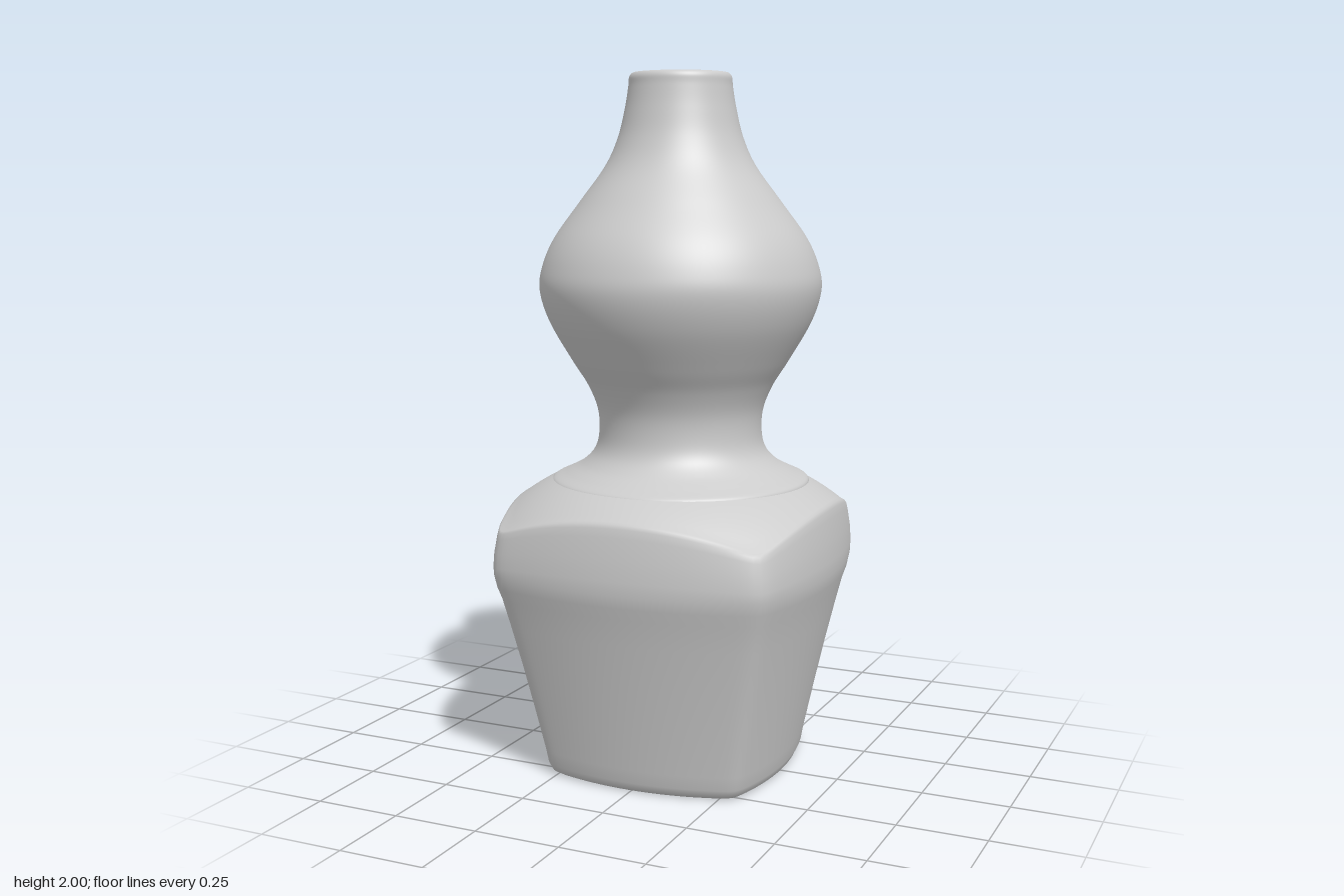
import * as THREE from 'three';

const material = new THREE.MeshStandardMaterial({ color: 0xcccccc, side: THREE.DoubleSide });

// Radius of a square with bulging sides and softened corners
function squareRadius(angle) {
  const quarter = Math.PI / 2;
  const t = Math.abs(angle - Math.round(angle / quarter) * quarter);
  const bow = 1.178, centre = 0.475 - bow;
  const side = a => centre * Math.cos(a) + Math.sqrt(bow * bow - (centre * Math.sin(a)) ** 2);
  const p = 42;
  return (side(t) ** -p + side(quarter - t) ** -p) ** (-1 / p);
}

// Shoulder slopes down with distance from the axis
const shoulderY = r => 0.845 - 0.5 * (r - 0.37) - 1.3 * (r - 0.37) ** 2;

function smoothLathe(points, count, segments) {
  const curve = new THREE.SplineCurve(points.map(([x, y]) => new THREE.Vector2(x, y)));
  return new THREE.LatheGeometry(curve.getPoints(count), segments);
}

function bodyGeometry() {
  const segments = 192, twist = THREE.MathUtils.degToRad(-2.3);
  // Each row gives radius and height for a plain outline radius R
  const rows = [];
  const lower = [[0, 0.012], [0.5, 0.012], [0.61, 0.008], [0.64, 0], [0.675, 0], [0.7, 0.008], [0.722, 0.03],
    [0.737, 0.07], [0.795, 0.2], [0.855, 0.33], [0.915, 0.45], [0.957, 0.53], [0.982, 0.565], [0.997, 0.6]];
  for (const [s, y] of lower) rows.push(R => [s * R, y]);
  const upper = [[1, 0.2], [0.994, 0.5], [0.98, 0.8], [0.972, 0.92], [0.962, 0.975], [0.945, 1]];
  for (const [s, f] of upper) {
    rows.push(R => [s * R, THREE.MathUtils.lerp(0.6, shoulderY(0.945 * R), f)]);
  }
  for (let k = 1; k <= 6; k++) {
    rows.push(R => {
      const r = THREE.MathUtils.lerp(0.945 * R, 0.35, k / 6);
      return [r, shoulderY(r)];
    });
  }

  const positions = [], index = [];
  for (const row of rows) {
    for (let j = 0; j < segments; j++) {
      const a = j / segments * Math.PI * 2;
      const [r, y] = row(squareRadius(a));
      positions.push(r * Math.cos(a + twist), y, r * Math.sin(a + twist));
    }
  }
  for (let i = 0; i < rows.length - 1; i++) {
    for (let j = 0; j < segments; j++) {
      const a = i * segments + j, b = i * segments + (j + 1) % segments;
      index.push(a, a + segments, b, b, a + segments, b + segments);
    }
  }
  const geometry = new THREE.BufferGeometry();
  geometry.setAttribute('position', new THREE.Float32BufferAttribute(positions, 3));
  geometry.setIndex(index);
  geometry.computeVertexNormals();
  return geometry;
}

export function createModel() {
  const group = new THREE.Group();
  const add = (name, geometry) => {
    const mesh = new THREE.Mesh(geometry, material);
    mesh.name = name;
    group.add(mesh);
    return mesh;
  };

  // Tapered square base with sloping shoulder
  add('squareBody', bodyGeometry());

  // Round collar, waist, bulb and neck up to the rolled rim
  const gourd = add('gourdNeck', smoothLathe([
    [0.375, 0.835], [0.368, 0.85], [0.33, 0.868], [0.285, 0.893], [0.25, 0.93], [0.236, 0.98],
    [0.24, 1.05], [0.268, 1.12], [0.312, 1.19], [0.375, 1.3], [0.403, 1.39], [0.395, 1.46],
    [0.36, 1.54], [0.288, 1.64], [0.215, 1.74], [0.178, 1.82], [0.158, 1.9], [0.148, 1.96],
    [0.145, 1.988], [0.134, 2], [0.122, 1.993], [0.116, 1.975]], 150, 96));
  gourd.position.set(0.004, 0, -0.004);

  // Inside of the mouth with its rounded floor
  const mouth = add('mouthInterior', smoothLathe([
    [0.116, 1.975], [0.113, 1.93], [0.115, 1.85], [0.118, 1.77], [0.105, 1.725],
    [0.06, 1.705], [0, 1.7]], 40, 96));
  mouth.position.copy(gourd.position);

  return group;
}
